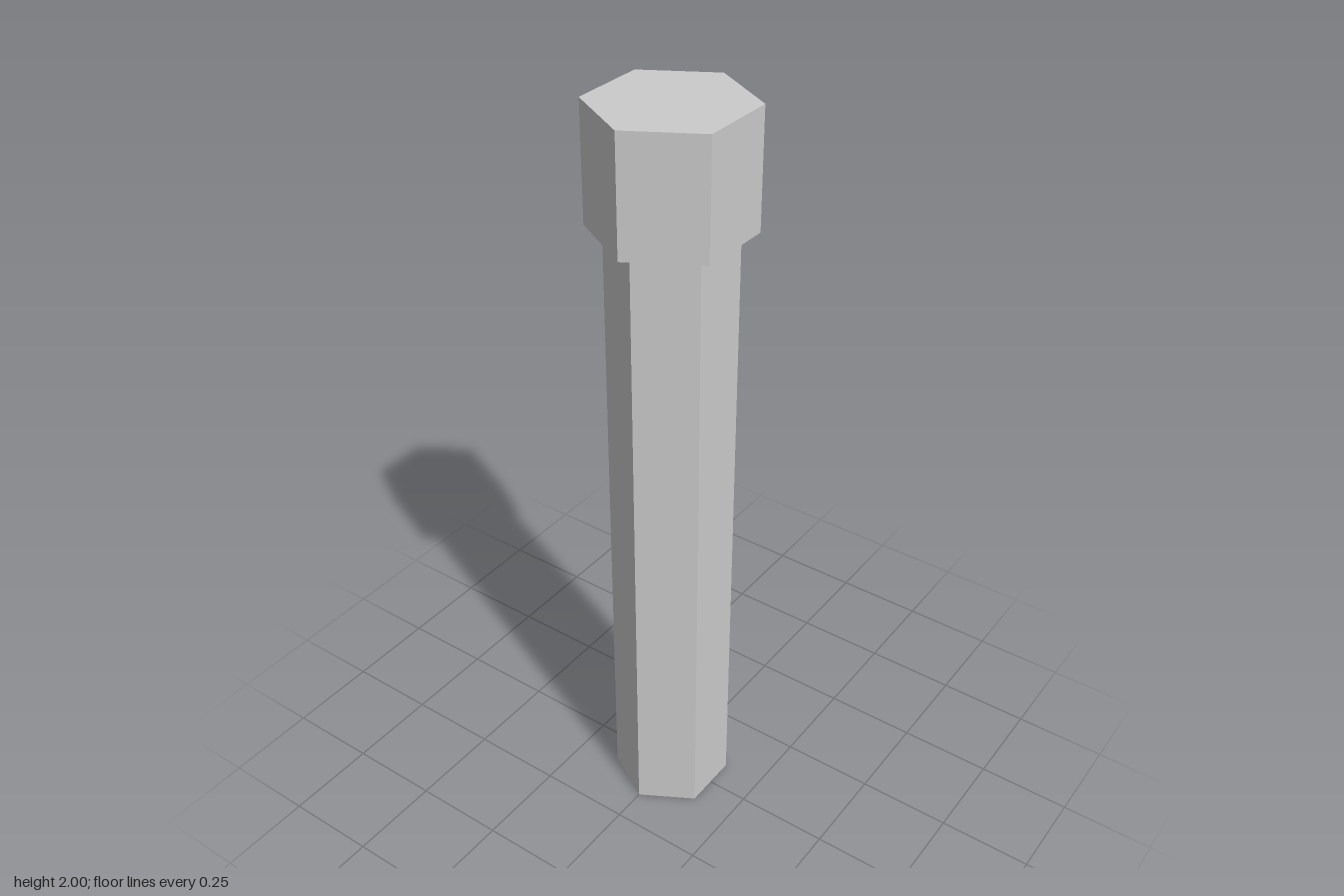
import * as THREE from 'three';

const SIDES = 6;

// Upright hexagonal prism from y0 to y1, with corners on the z axis
function hexPrism(name, radius, y0, y1, open, material) {
  const geometry = new THREE.CylinderGeometry(radius, radius, y1 - y0, SIDES, 1, open);
  const mesh = new THREE.Mesh(geometry, material);
  mesh.name = name;
  mesh.position.y = (y0 + y1) / 2;
  return mesh;
}

export function createModel() {
  const group = new THREE.Group();
  group.name = 'hexPost';

  const solid = new THREE.MeshStandardMaterial({ color: 0xcccccc, flatShading: true });
  const thin = solid.clone();
  thin.side = THREE.DoubleSide;

  // Hollow shaft, open at the foot
  group.add(hexPrism('shaft', 0.158, 0, 1.7, true, thin));
  // Solid, wider head
  group.add(hexPrism('head', 0.2, 1.7, 2, false, solid));

  return group;
}
